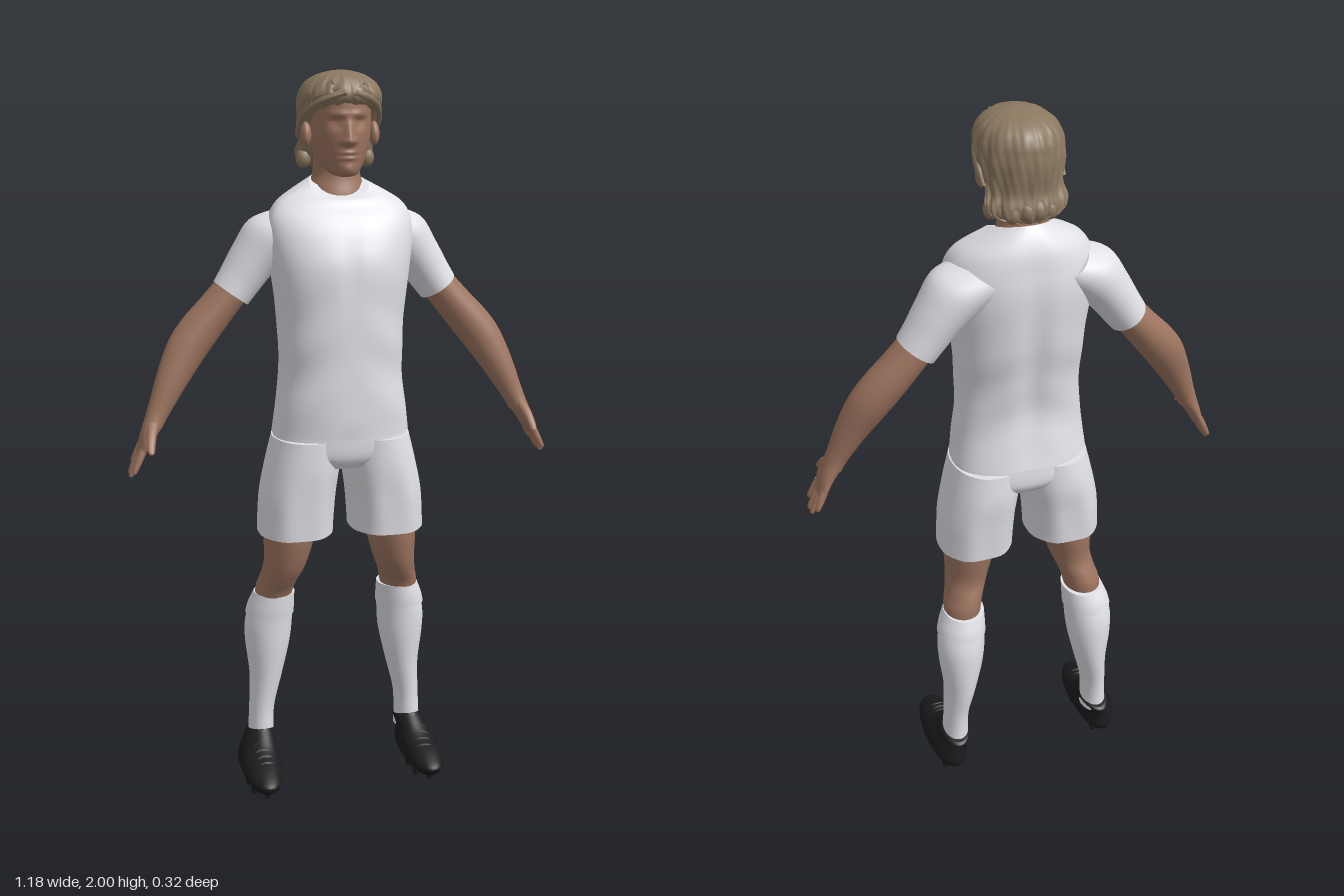
import * as THREE from 'three';

const mat = (name, color) => {
  const m = new THREE.MeshStandardMaterial({ color });
  m.name = name;
  return m;
};

// Smooth closed loft. Rows run upward: [x, y, z, halfWidth, frontDepth, backDepth, power, tilt].
// angle leans the cross-sections in the xy plane; warp may move each point.
function loft(rows, { seg = 32, steps = 5, angle = 0, warp = null } = {}) {
  const pos = [], idx = [];
  const full = rows.map(r => [r[0], r[1], r[2], r[3], r[4] ?? r[3], r[5] ?? r[4] ?? r[3], r[6] ?? 2, r[7] ?? 0]);
  const at = i => full[Math.max(0, Math.min(full.length - 1, i))];
  const n = (full.length - 1) * steps + 1;
  const ca = Math.cos(angle), sa = Math.sin(angle), p = new THREE.Vector3();
  for (let k = 0; k < n; k++) {
    const i = Math.min(Math.floor(k / steps), full.length - 2), t = k / steps - i;
    const [x, y, z, w, f, b, pw, tilt] = at(i).map((v1, c) => {
      const v0 = at(i - 1)[c], v2 = at(i + 1)[c], v3 = at(i + 2)[c];
      return v1 + 0.5 * t * (v2 - v0 + t * (2 * v0 - 5 * v1 + 4 * v2 - v3 + t * (3 * (v1 - v2) + v3 - v0)));
    });
    for (let j = 0; j < seg; j++) {
      const a = j / seg * Math.PI * 2, c = Math.cos(a), s = Math.sin(a);
      const u = w * Math.sign(c) * Math.abs(c) ** (2 / pw);
      const v = (s > 0 ? f : b) * Math.sign(s) * Math.abs(s) ** (2 / pw);
      p.set(x + u * ca, y + u * sa + tilt * s, z + v);
      if (warp) warp(p, a);
      pos.push(p.x, p.y, p.z);
    }
  }
  for (let k = 0; k < n - 1; k++) for (let j = 0; j < seg; j++) {
    const a = k * seg + j, b = k * seg + (j + 1) % seg;
    idx.push(a, a + seg, b, b, a + seg, b + seg);
  }
  // End caps with their own vertices, so the rims stay sharp
  for (const [k, up] of [[0, false], [n - 1, true]]) {
    const base = pos.length / 3, mid = [0, 0, 0];
    for (let j = 0; j < seg; j++) for (let c = 0; c < 3; c++) {
      const v = pos[(k * seg + j) * 3 + c];
      pos.push(v);
      mid[c] += v / seg;
    }
    pos.push(...mid);
    for (let j = 0; j < seg; j++) {
      const a = base + j, b = base + (j + 1) % seg;
      idx.push(...(up ? [base + seg, b, a] : [base + seg, a, b]));
    }
  }
  const g = new THREE.BufferGeometry();
  g.setAttribute('position', new THREE.Float32BufferAttribute(pos, 3));
  g.setIndex(idx);
  g.computeVertexNormals();
  return g;
}

// Mirror a geometry across x = 0, keeping its faces outward
function mirrored(g) {
  const m = g.clone().scale(-1, 1, 1), ix = m.index.array;
  for (let i = 0; i < ix.length; i += 3) [ix[i], ix[i + 1]] = [ix[i + 1], ix[i]];
  m.computeVertexNormals();
  return m;
}

const bump = (d, s) => Math.exp(-((d / s) ** 2));

export function createModel() {
  const model = new THREE.Group();
  const white = mat('white cloth', 0xe6e6ec), skin = mat('skin', 0x9e7560);
  const hairMat = mat('hair', 0x8b7860), black = mat('black leather', 0x1c1c1e), lace = mat('lace', 0x2b2b2e);
  const add = (name, g, m) => {
    const mesh = new THREE.Mesh(g, m);
    mesh.name = name;
    model.add(mesh);
  };
  const pair = (name, g, m) => {
    add('left ' + name, g, m);
    add('right ' + name, mirrored(g), m);
  };

  // Shirt body with spine groove and soft folds
  add('shirt', loft([
    [0, 1.04, 0, .19, .135, .13, 2.3], [0, 1.1, 0, .182, .14, .12, 2.3], [0, 1.2, 0, .17, .14, .11, 2.3],
    [0, 1.3, 0, .17, .14, .125, 2.3], [0, 1.4, 0, .177, .14, .143, 2.3], [0, 1.5, 0, .19, .137, .153, 2.3],
    [0, 1.57, 0, .197, .115, .156, 2.3], [0, 1.62, 0, .193, .088, .152, 2.3], [0, 1.66, 0, .17, .062, .145, 2.2, -.01],
    [0, 1.688, 0, .125, .05, .13, 2.1, -.02], [0, 1.706, 0, .08, .038, .11, 2, -.032],
  ], {
    seg: 72, steps: 6, warp: p => {
      const mid = bump(p.y - 1.36, .24);
      const fold = .0035 * Math.sin(38 * p.y + 22 * Math.abs(p.x)) * bump(p.y - 1.25, .2) * Math.min(1, Math.abs(p.x) * 8);
      if (p.z < 0) p.z += .016 * bump(p.x, .035) * mid + fold;
      else p.z += fold - .006 * bump(p.x, .02) * bump(p.y - 1.5, .08);
    },
  }), white);

  // Sleeves
  const lean = 0.62;
  pair('sleeve', loft([
    [.29, 1.42, -.048, .055, .066, .066], [.262, 1.46, -.05, .059, .07, .07], [.225, 1.512, -.05, .066, .078, .08],
    [.172, 1.568, -.045, .079, .086, .096], [.11, 1.6, -.04, .07, .08, .1],
  ], { angle: lean, seg: 40 }), white);

  // Bare arms, from wrist up into the sleeve
  pair('arm', loft([
    [.516, 1.085, .008, .027, .036], [.5, 1.12, .002, .031, .034], [.463, 1.195, -.012, .043, .042],
    [.42, 1.27, -.03, .053, .052], [.378, 1.325, -.04, .054, .056], [.33, 1.38, -.046, .05, .057], [.27, 1.45, -.05, .047, .056],
  ], { angle: lean }), skin);

  // Hands
  const handLean = 0.47;
  pair('palm', loft([
    [.555, 1.006, .014, .01, .038, .04], [.548, 1.02, .014, .014, .044, .044], [.534, 1.052, .014, .02, .046, .042],
    [.515, 1.088, .008, .026, .036, .034],
  ], { angle: handLean }), skin);
  [['index finger', .046, .062, .962], ['middle finger', .024, .031, .946],
    ['ring finger', .002, .003, .948], ['little finger', -.019, -.028, .972]].forEach(([name, z0, z1, y]) => {
    const x = .585 - (y - .945) * .45, mix = t => [x + (.548 - x) * t, y + (1.024 - y) * t, z1 + (z0 - z1) * t];
    pair(name, loft([
      [...mix(0), .001], [...mix(.08), .0065, .0075], [...mix(.5), .0095, .0105], [...mix(1), .011, .0115],
    ], { angle: handLean, seg: 12 }), skin);
  });
  pair('thumb', loft([
    [.534, 1.022, .103, .001], [.533, 1.029, .1, .009, .008], [.53, 1.05, .08, .012, .012],
    [.524, 1.075, .052, .014, .018], [.516, 1.095, .025, .014, .018],
  ], { angle: .2, seg: 14 }), skin);

  // Shorts: waist and two wide legs
  add('shorts waist', loft([
    [0, .95, 0, .12, .1, .1], [0, .985, 0, .185, .122, .124, 2.3], [0, 1.05, 0, .184, .128, .122, 2.3],
  ], { seg: 48 }), white);
  pair('shorts leg', loft([
    [.13, .755, 0, .104, .11, .112, 2.3, -.003], [.128, .8, 0, .104, .114, .116, 2.3], [.122, .87, 0, .104, .12, .123, 2.3],
    [.108, .95, 0, .102, .126, .131, 2.2], [.095, 1.03, 0, .096, .126, .125, 2.1],
  ], { seg: 48, warp: (p, a) => { p.z += .003 * Math.sin(a * 7) * bump(p.y - .82, .1); } }), white);

  // Thighs and knees
  pair('leg', loft([
    [.19, .5, -.05, .05, .05], [.183, .57, -.042, .053, .066, .066], [.172, .61, -.025, .053, .074, .076],
    [.158, .66, -.005, .059, .079, .081], [.147, .74, 0, .07, .094, .096], [.14, .82, 0, .075, .1],
  ]), skin);

  // Socks with turned cuffs
  pair('sock', loft([
    [.223, .09, -.07, .038, .05, .05], [.222, .15, -.07, .036, .049, .05], [.218, .21, -.07, .037, .05, .055],
    [.206, .3, -.07, .047, .06, .07], [.2, .4, -.07, .064, .073, .076], [.196, .47, -.065, .067, .074, .077],
    [.183, .55, -.052, .056, .068, .068],
  ]), white);
  pair('sock cuff', loft([
    [.194, .492, -.062, .0695, .077, .078], [.19, .52, -.058, .066, .076, .076], [.182, .558, -.05, .058, .07, .07, 2, .003],
  ]), white);

  // Shoes with soles, laces and studs
  pair('shoe', loft([
    [.24, .018, 0, .047, .145, .13, 2.3], [.24, .035, 0, .056, .163, .138, 2.2], [.24, .052, 0, .059, .162, .139, 2.1],
    [.238, .075, -.01, .054, .125, .128], [.232, .098, -.03, .046, .075, .108], [.226, .118, -.065, .042, .06, .073, 2, .012],
    [.225, .126, -.068, .036, .05, .062, 2, .014],
  ], { seg: 40 }), black);
  for (let i = 0; i < 4; i++) {
    const z = .01 + i * .024, y = .108 - i * .009, w = .03;
    const path = new THREE.CatmullRomCurve3([[-w, -.016, -.004], [-w * .5, 0, 0], [w * .5, 0, 0], [w, -.016, .004]]
      .map(([a, b, c]) => new THREE.Vector3(.235 + a, y + b, z + c)));
    pair('lace ' + (i + 1), new THREE.TubeGeometry(path, 12, .005, 6), lace);
  }
  [[.208, .09], [.272, .09], [.202, .035], [.278, .035], [.215, -.1], [.265, -.1], [.24, .125]].forEach(([x, z], i) => {
    pair('stud ' + (i + 1), new THREE.CylinderGeometry(.012, .008, .03, 10).translate(x, .015, z), black);
  });

  // Neck
  add('neck', loft([
    [0, 1.64, -.035, .075, .06, .06], [0, 1.7, -.036, .074, .066, .068, 2, -.025],
    [0, 1.735, -.042, .064, .058, .06], [0, 1.81, -.03, .062, .06, .07],
  ]), skin);

  // Head: nose, brow, eye sockets, lips and chin shaped by a rule
  add('head', loft([
    [0, 1.73, .052, .012, .018, .02], [0, 1.736, .048, .032, .042, .05], [0, 1.755, .02, .052, .076, .07],
    [0, 1.79, 0, .069, .1, .08], [0, 1.83, 0, .077, .104, .09], [0, 1.88, 0, .08, .103, .1],
    [0, 1.93, 0, .079, .1, .1], [0, 1.97, 0, .05, .06, .07],
  ], {
    seg: 112, steps: 10, warp: p => {
      if (p.z < .03) return;
      const ax = Math.abs(p.x), y = p.y;
      const ridge = y > 1.822 ? Math.max(0, 1 - (y - 1.822) / .065) : bump(y - 1.822, .009);
      p.z += .021 * ridge * bump(ax, .010 + .005 * ridge)
        + .005 * bump(y - 1.822, .008) * bump(ax - .014, .007)
        - .012 * bump(ax - .032, .017) * bump(y - 1.868, .012)
        + .005 * bump(ax - .03, .02) * bump(y - 1.866, .006)
        + .006 * bump(ax - .025, .03) * bump(y - 1.89, .008)
        + .006 * bump(ax, .02) * (bump(y - 1.793, .005) + bump(y - 1.780, .005))
        - .004 * bump(ax, .022) * bump(y - 1.7865, .003)
        + .005 * bump(ax, .02) * bump(y - 1.752, .012);
    },
  }), skin);
  pair('ear', new THREE.SphereGeometry(1, 16, 12).scale(.014, .032, .02).rotateX(-.2).translate(.092, 1.838, .004), skin);

  // Swept-back hair, open round the face, with strand grooves
  add('hair', loft([
    [0, 1.748, -.09, .055, .015, .028], [0, 1.765, -.075, .092, .035, .052], [0, 1.79, -.065, .103, .045, .063],
    [0, 1.82, -.05, .097, .045, .07], [0, 1.86, -.03, .104, .05, .094], [0, 1.89, -.02, .109, .075, .106],
    [0, 1.915, -.01, .11, .112, .114], [0, 1.94, 0, .107, .115, .12], [0, 1.967, 0, .092, .1, .103],
    [0, 1.987, .005, .063, .07, .073], [0, 1.997, .008, .028, .03, .03], [0, 2, .008, .002],
  ], {
    seg: 128, steps: 6, warp: (p, a) => {
      const low = 1 - Math.min(1, Math.max(0, (p.y - 1.76) / .2));
      const k = 1 + (.018 + .02 * low) * Math.sin(15 * a + 30 * p.y + 2 * Math.sin(3 * a)) + .01 * Math.sin(31 * a - 45 * p.y);
      p.x *= k;
      p.z = -.01 + (p.z + .01) * k;
    },
  }), hairMat);
  // Flicked locks beside the neck and along the nape
  for (let i = 0; i < 4; i++) {
    const a = .15 + i * .42;
    pair('nape lock ' + (i + 1), new THREE.SphereGeometry(1, 14, 10).scale(.021, .026, .022)
      .translate(.088 * Math.cos(a), 1.772 + .006 * (i % 2), -.045 - .068 * Math.sin(a)), hairMat);
  }
  // Locks sweeping from the hairline over the temples
  for (let i = 0; i < 3; i++) {
    const d = i * .012;
    const path = new THREE.CatmullRomCurve3([[.01 + d, 1.945 + d, .112 - d], [.055, 1.93 + d, .098 - d],
      [.09, 1.905 + d, .05 - d], [.104, 1.87 + d, .0], [.1, 1.83, -.05]].map(v => new THREE.Vector3(...v)));
    pair('temple lock ' + (i + 1), new THREE.TubeGeometry(path, 24, .009, 8), hairMat);
  }
  return model;
}
